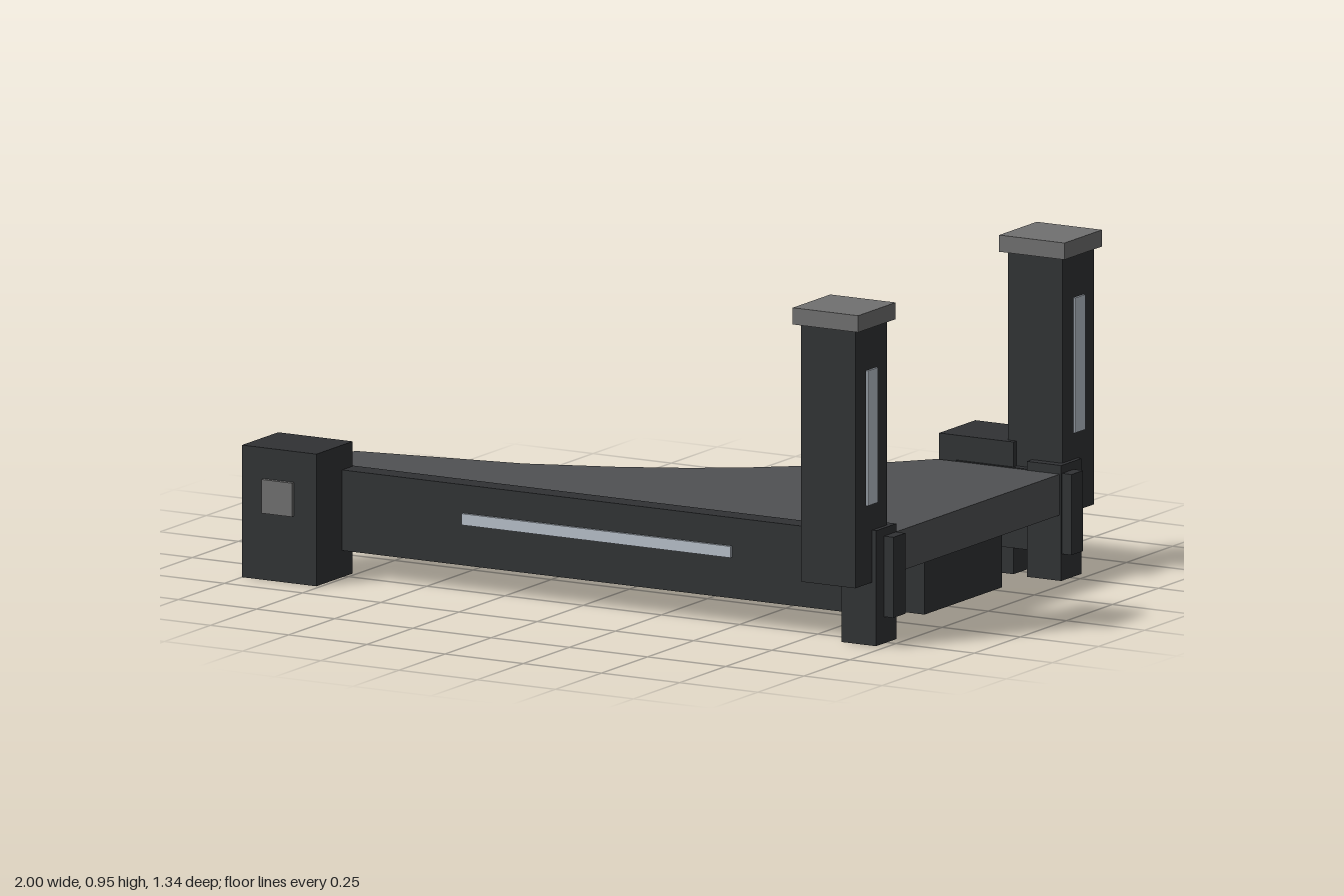
import * as THREE from 'three';

const material = (color) => new THREE.MeshStandardMaterial({ color });

export function createModel() {
  const model = new THREE.Group();
  const dark = material(0x303234);
  const deckGrey = material(0x505153);
  const capGrey = material(0x707070);
  const light = material(0xb8c0ca);

  // Box from its minimum and maximum extents on each axis
  function box(name, [x0, x1], [y0, y1], [z0, z1], mat, parent = model) {
    const mesh = new THREE.Mesh(new THREE.BoxGeometry(x1 - x0, y1 - y0, Math.abs(z1 - z0)), mat);
    mesh.position.set((x0 + x1) / 2, (y0 + y1) / 2, (z0 + z1) / 2);
    mesh.name = name;
    parent.add(mesh);
  }

  // Deck: flat plate with a concave sweep along the back
  const outline = [
    [0.965, 0.46], [0.965, -0.45], [0.57, -0.45], [0.5, -0.37], [0.41, -0.275],
    [0.3, -0.185], [0.18, -0.09], [0.04, 0], [-0.13, 0.085], [-0.38, 0.18],
    [-0.86, 0.27], [-0.92, 0.355], [-0.92, 0.46],
  ].map(([x, z]) => new THREE.Vector2(x, z));
  const deckGeometry = new THREE.ExtrudeGeometry(new THREE.Shape(outline), { depth: 0.115, bevelEnabled: false });
  deckGeometry.rotateX(Math.PI / 2);
  deckGeometry.translate(0, 0.3, 0);
  const deck = new THREE.Mesh(deckGeometry, deckGrey);
  deck.name = 'deck';
  model.add(deck);

  // Side beams, the front one with a light strip
  box('frontBeam', [-0.92, 1], [0.075, 0.302], [0.45, 0.515], dark);
  box('frontLightStrip', [-0.375, 0.485], [0.19, 0.222], [0.51, 0.523], light);
  box('backBeam', [0.63, 1], [0.075, 0.302], [-0.515, -0.452], dark);

  // Box hung under the deck
  box('underBox', [0.69, 0.92], [0.02, 0.185], [-0.21, 0.21], dark);

  // Corner blocks with a small raised panel
  for (const [name, x, s] of [['front', -1, 1], ['back', 0.573, -1]]) {
    box(name + 'CornerBlock', [x, x + 0.238], [0, 0.372], [s * 0.458, s * 0.655], dark);
    box(name + 'CornerPanel', [x + 0.07, x + 0.167], [0.19, 0.285], [s * 0.65, s * 0.668], capGrey);
  }

  // Towers, mirrored front to back
  for (const [name, s] of [['frontTower', 1], ['backTower', -1]]) {
    const tower = new THREE.Group();
    tower.name = name;
    model.add(tower);
    box('column', [0.783, 0.957], [0.178, 0.905], [s * 0.475, s * 0.648], dark, tower);
    box('cap', [0.765, 0.974], [0.903, 0.95], [s * 0.458, s * 0.662], capGrey, tower);
    box('window', [0.95, 0.963], [0.4, 0.78], [s * 0.535, s * 0.59], light, tower);
    box('foot', [0.86, 0.97], [0, 0.325], [s * 0.447, s * 0.558], dark, tower);
  }
  return model;
}
